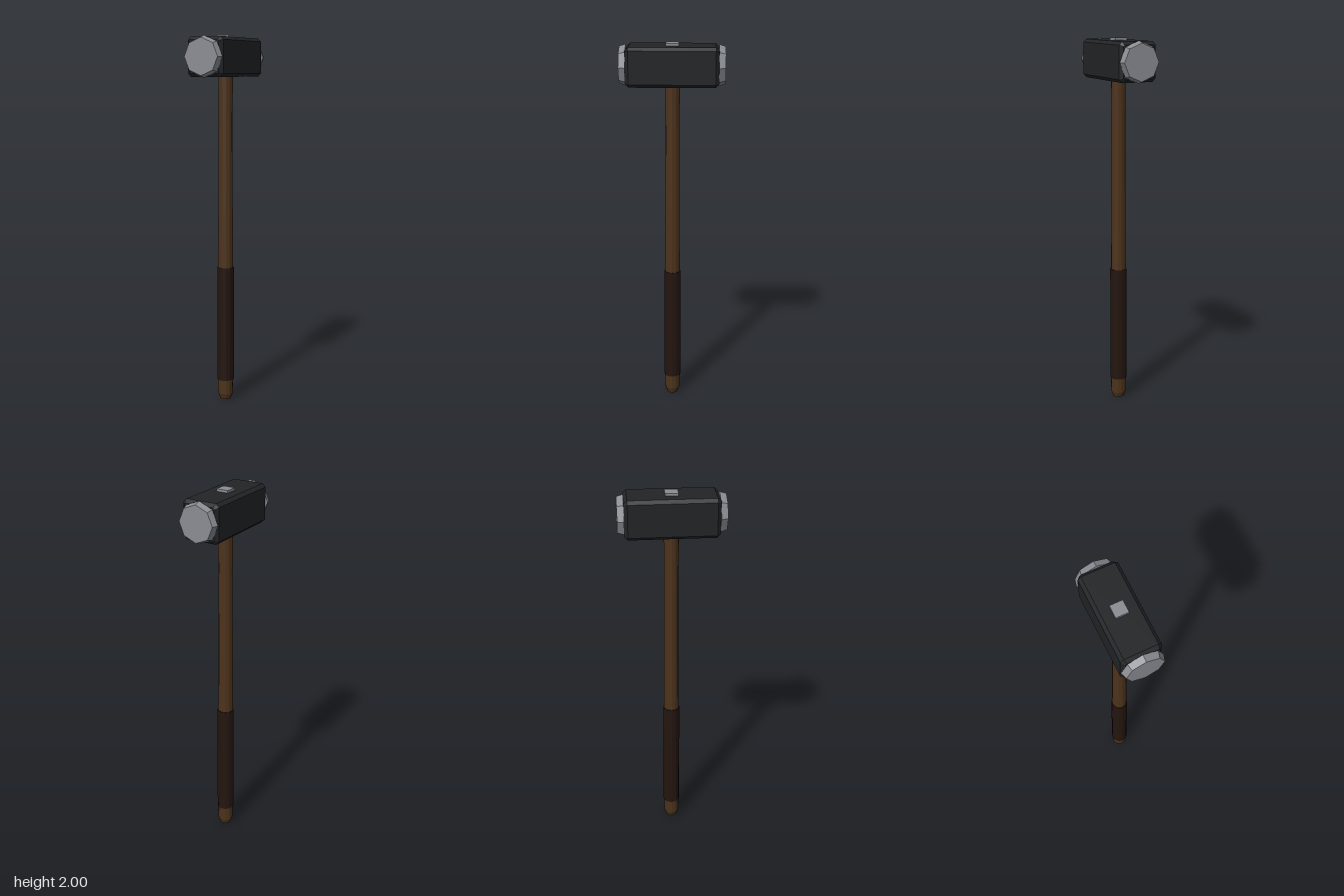
import * as THREE from 'three';

const mat = (color) => new THREE.MeshStandardMaterial({ color, flatShading: true });
const iron = mat(0x222426);
const steel = mat(0x8a8d93);
const wood = mat(0x4d331c);
const leather = mat(0x24150f);

const HEAD_Y = 1.885;

function addMesh(group, name, geometry, material, x = 0, y = 0, z = 0) {
  const mesh = new THREE.Mesh(geometry, material);
  mesh.name = name;
  mesh.position.set(x, y, z);
  group.add(mesh);
  return mesh;
}

// Turned part from [radius, height] pairs
const turned = (points, sides) =>
  new THREE.LatheGeometry(points.map(([r, y]) => new THREE.Vector2(r, y)), sides);

// Square block outline with chamfered corners
function chamferedSquare(half, cut) {
  const k = half - cut;
  return new THREE.Shape([
    [k, -half], [half, -k], [half, k], [k, half],
    [-k, half], [-half, k], [-half, -k], [-k, -half],
  ].map(([x, y]) => new THREE.Vector2(x, y)));
}

export function createModel() {
  const model = new THREE.Group();
  model.name = 'sledgehammer';

  // Wooden handle with a rounded-off butt, tapering towards the head
  addMesh(model, 'handle', turned([
    [0, 0], [0.03, 0], [0.041, 0.03], [0.043, 0.12],
    [0.041, 0.75], [0.039, 1.05], [0.037, 1.55], [0.039, 1.8], [0, 1.8],
  ], 12), wood);

  // Leather grip sleeve
  addMesh(model, 'grip', turned([
    [0.041, 0.112], [0.046, 0.112], [0.045, 0.75], [0.039, 0.75],
  ], 12), leather);

  // Iron head block, bevelled on every edge
  const head = new THREE.ExtrudeGeometry(chamferedSquare(0.085, 0.007), {
    depth: 0.444, bevelEnabled: true, bevelSegments: 1,
    bevelSize: 0.017, bevelThickness: 0.018,
  });
  head.translate(0, 0, -0.222);
  addMesh(model, 'head', head, iron, 0, HEAD_Y, 0);

  // Octagonal striking faces, narrower at the outer end
  for (const [name, side] of [['frontFace', 1], ['backFace', -1]]) {
    const face = new THREE.CylinderGeometry(0.096, 0.107, 0.034, 8);
    face.rotateX(side * Math.PI / 2);
    addMesh(model, name, face, steel, 0, HEAD_Y, side * 0.256);
  }

  // Wedge locking the handle through the top of the head
  addMesh(model, 'wedge', new THREE.BoxGeometry(0.067, 0.04, 0.067), steel, 0, 1.98, 0);

  return model;
}
